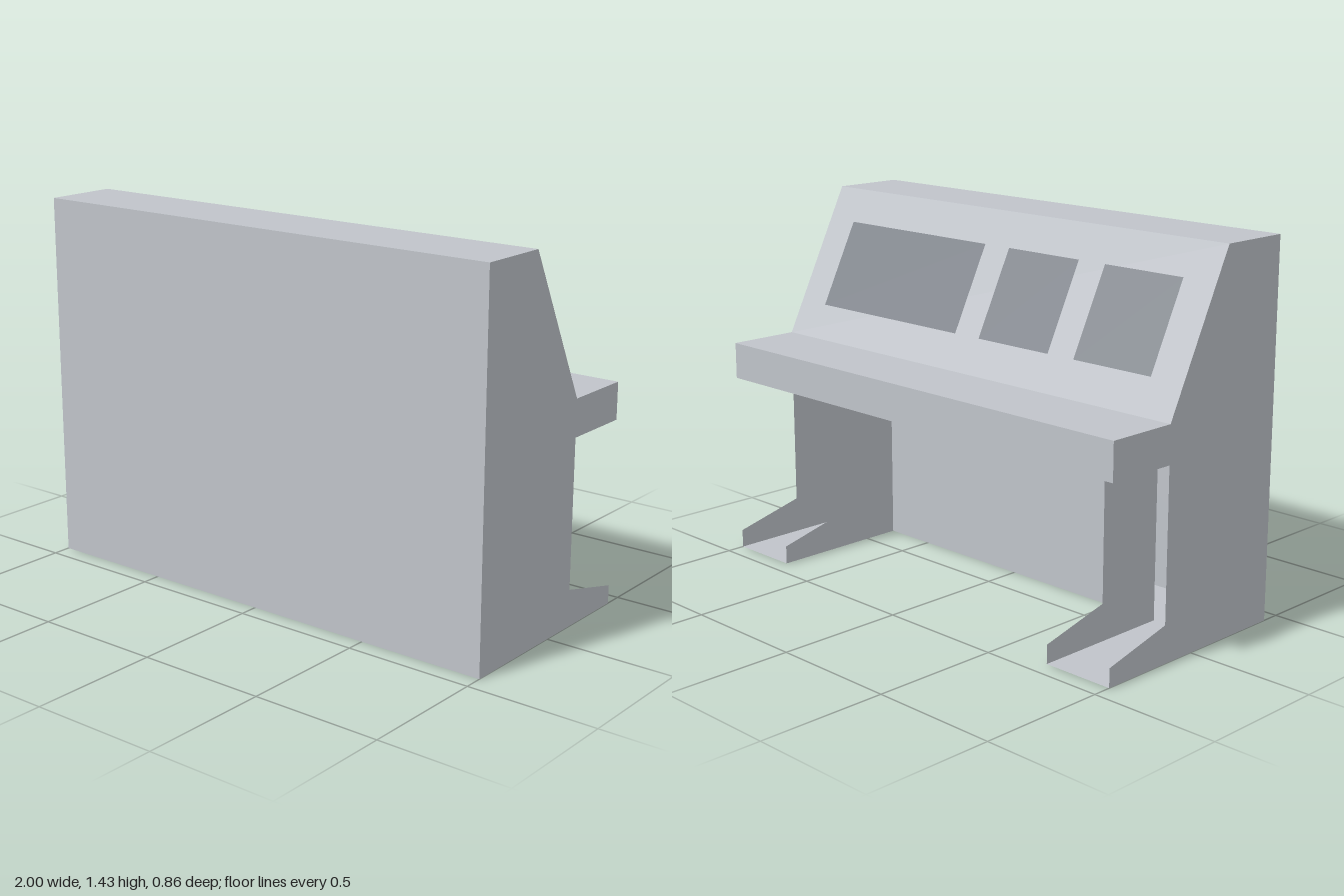
import * as THREE from 'three';

const U = 1 / 7; // design module
const casing = new THREE.MeshStandardMaterial({ color: 0xc0c4ca, side: THREE.DoubleSide });
casing.name = 'light grey casing';
const screen = new THREE.MeshStandardMaterial({ color: 0x80858c, side: THREE.DoubleSide });
screen.name = 'dark grey screen';

// Sheet folded along a path of [z, y] points, spanning x0 to x1
function sheet(name, path, x0, x1, material = casing) {
  const pos = [];
  for (let i = 0; i < path.length - 1; i++) {
    const [z0, y0] = path[i], [z1, y1] = path[i + 1];
    const a = [x0, y0, z0], b = [x1, y0, z0], c = [x1, y1, z1], d = [x0, y1, z1];
    pos.push(...a, ...b, ...c, ...a, ...c, ...d);
  }
  const geo = new THREE.BufferGeometry();
  geo.setAttribute('position', new THREE.Float32BufferAttribute(pos, 3));
  geo.computeVertexNormals();
  const mesh = new THREE.Mesh(geo, material);
  mesh.name = name;
  return mesh;
}

// Flat upright wall with a [z, y] outline, at a given x and facing side s
function wall(name, outline, x, s) {
  const shape = new THREE.Shape(outline.map(([z, y]) => new THREE.Vector2(-s * z, y)));
  const mesh = new THREE.Mesh(new THREE.ShapeGeometry(shape), casing);
  mesh.rotation.y = s * Math.PI / 2;
  mesh.position.x = x;
  mesh.name = name;
  return mesh;
}

export function createModel() {
  const group = new THREE.Group();
  group.name = 'controlConsole';
  const inner = 5 * U;

  // Outer shell: front, top, sloped panel, desk top, desk edge, desk underside
  const shell = [[3 * U, 0], [3 * U, 10 * U], [U, 10 * U], [-U, 6 * U], [-3 * U, 6 * U], [-3 * U, 5 * U], [-U, 5 * U]];
  group.add(sheet('shell', shell, -1, 1));

  // Knee space: ceiling, back panel and the floor strip beneath it
  group.add(sheet('kneeSpace', [[-U, 5 * U], [U, 5 * U], [U, 0], [3 * U, 0]], -inner, inner));

  // Hollow, open-backed pedestals with sloping feet
  const foot = [[-U, U], [-3 * U, U / 2], [-3 * U, 0]];
  for (const s of [1, -1]) {
    const pedestal = new THREE.Group();
    pedestal.name = s > 0 ? 'leftPedestal' : 'rightPedestal';
    pedestal.add(wall('endWall', [...shell, ...foot], s, s));
    pedestal.add(wall('innerWall', [[U, 0], [U, 5 * U], [-U, 5 * U], ...foot], s * inner, -s));
    pedestal.add(sheet('pedestalFloor', [[-3 * U, 0], [3 * U, 0]], Math.min(s, s * inner), Math.max(s, s * inner)));
    group.add(pedestal);
  }

  // Screens laid just above the sloped panel
  const lift = 0.003;
  const onSlope = (z) => [z - lift * 0.894, 6 * U + 2 * (z + U) + lift * 0.447];
  for (const [x0, x1] of [[-0.86, -0.505], [-0.38, -0.03], [0.095, 0.855]]) {
    group.add(sheet('screen', [onSlope(0.08), onSlope(-0.08)], x0, x1, screen));
  }
  return group;
}
